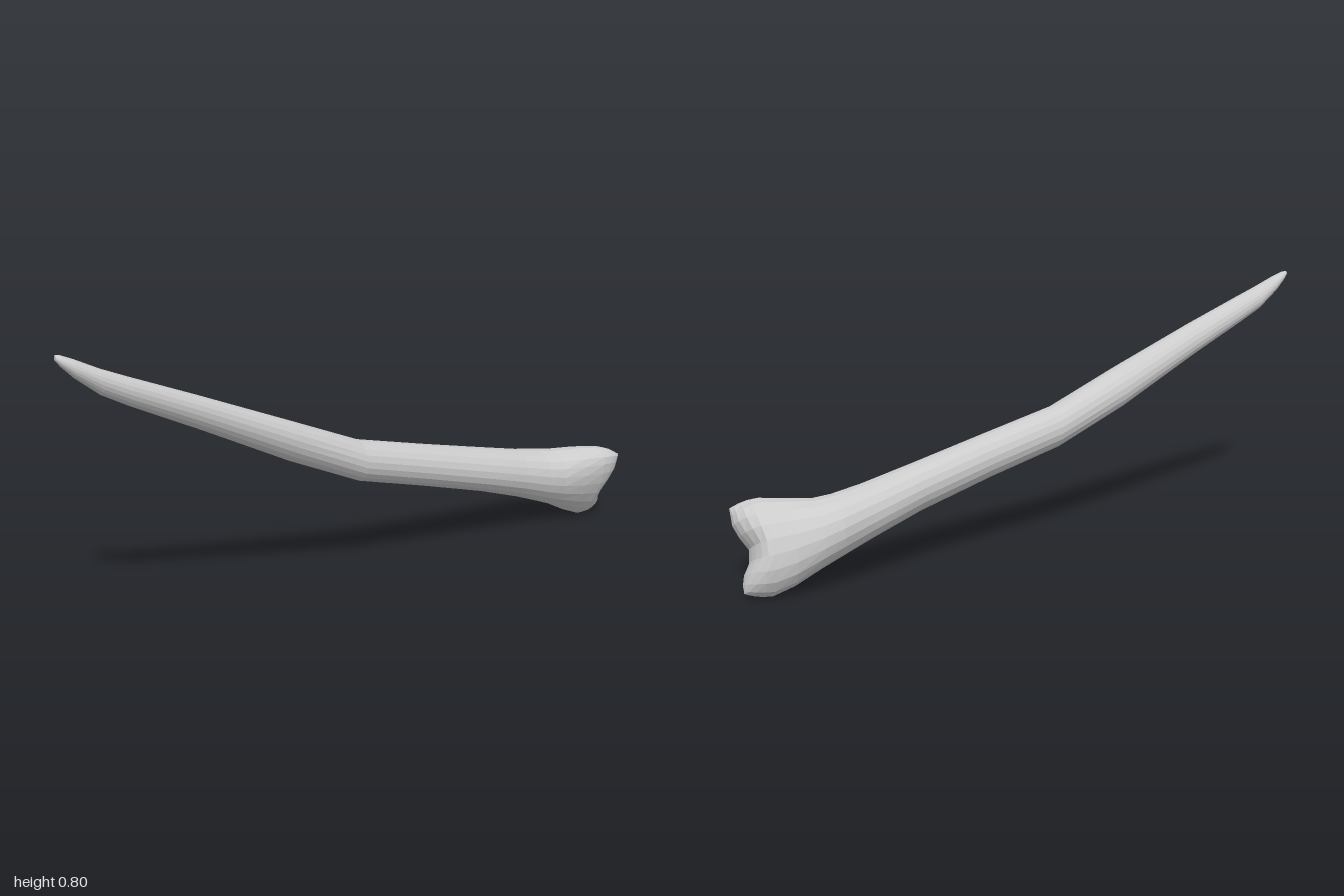
import * as THREE from 'three';

const SIDES = 20;
// Direction (z, y) of the long axis of the cross-sections
const DZ = 0.48, DY = 0.877;

// Cross-sections along the bone: x, centre y, centre z, long radius, front radius, back radius
const SECTIONS = [
  [-1.0, 0.8, 0.105, 0.008, 0.008, 0.008],
  [-0.985, 0.79, 0.106, 0.016, 0.018, 0.018],
  [-0.95, 0.766, 0.106, 0.027, 0.026, 0.026],
  [-0.88, 0.723, 0.106, 0.039, 0.032, 0.032],
  [-0.8, 0.687, 0.104, 0.044, 0.036, 0.036],
  [-0.6, 0.603, 0.091, 0.053, 0.042, 0.042],
  [-0.3, 0.472, 0.066, 0.067, 0.054, 0.054],
  [-0.05, 0.37, 0.045, 0.067, 0.064, 0.064],
  [0.2, 0.312, 0.02, 0.069, 0.069, 0.069],
  [0.45, 0.252, -0.011, 0.074, 0.076, 0.078],
  [0.62, 0.207, -0.035, 0.084, 0.08, 0.085],
  [0.72, 0.18, -0.045, 0.094, 0.085, 0.097],
  [0.78, 0.165, -0.045, 0.104, 0.085, 0.1],
  [0.86, 0.146, -0.026, 0.13, 0.072, 0.11],
  [0.92, 0.135, -0.005, 0.145, 0.055, 0.11],
];

// One ring; end (0..1) closes it onto the saddle between the two end knobs
function ring([x, cy, cz, a, front, back], end = 0) {
  const points = [];
  const squeeze = Math.sqrt(1 - end * end);
  for (let i = 0; i < SIDES; i++) {
    const t = (i / SIDES) * Math.PI * 2;
    const u = Math.cos(t), s = Math.sin(t);
    const along = u * a * (1 - 0.14 * end * end);
    const across = s * (s > 0 ? front : back) * squeeze;
    const knob = Math.sin(Math.min(1, Math.abs(u + 0.1) / 0.7) * Math.PI / 2) ** 2;
    points.push(
      x + end * (0.042 + 0.038 * knob),
      cy + along * DY - across * DZ,
      cz + along * DZ + across * DY
    );
  }
  return points;
}

export function createModel() {
  const rings = SECTIONS.map((s) => ring(s));
  const last = SECTIONS[SECTIONS.length - 1];
  for (const end of [0.35, 0.65, 0.87, 0.97, 1]) rings.push(ring(last, end));

  // Skin neighbouring rings
  const index = [];
  for (let r = 0; r < rings.length - 1; r++) {
    for (let i = 0; i < SIDES; i++) {
      const j = (i + 1) % SIDES;
      const a = r * SIDES + i, b = r * SIDES + j;
      const c = a + SIDES, d = b + SIDES;
      index.push(a, b, c, b, d, c);
    }
  }
  // Close the narrow tip
  const positions = rings.flat();
  const tip = positions.length / 3;
  positions.push(-1.0, 0.801, 0.105);
  for (let i = 0; i < SIDES; i++) index.push(tip, (i + 1) % SIDES, i);

  // Make sure the faces look outwards: ring order runs from +y towards +z
  const geometry = new THREE.BufferGeometry();
  geometry.setAttribute('position', new THREE.Float32BufferAttribute(positions, 3));
  geometry.setIndex(index);
  geometry.computeVertexNormals();

  const bone = new THREE.Mesh(
    geometry,
    new THREE.MeshStandardMaterial({ color: 0xcccccc, flatShading: true, side: THREE.DoubleSide })
  );
  bone.name = 'bone';

  const group = new THREE.Group();
  group.name = 'boneModel';
  group.add(bone);
  return group;
}
